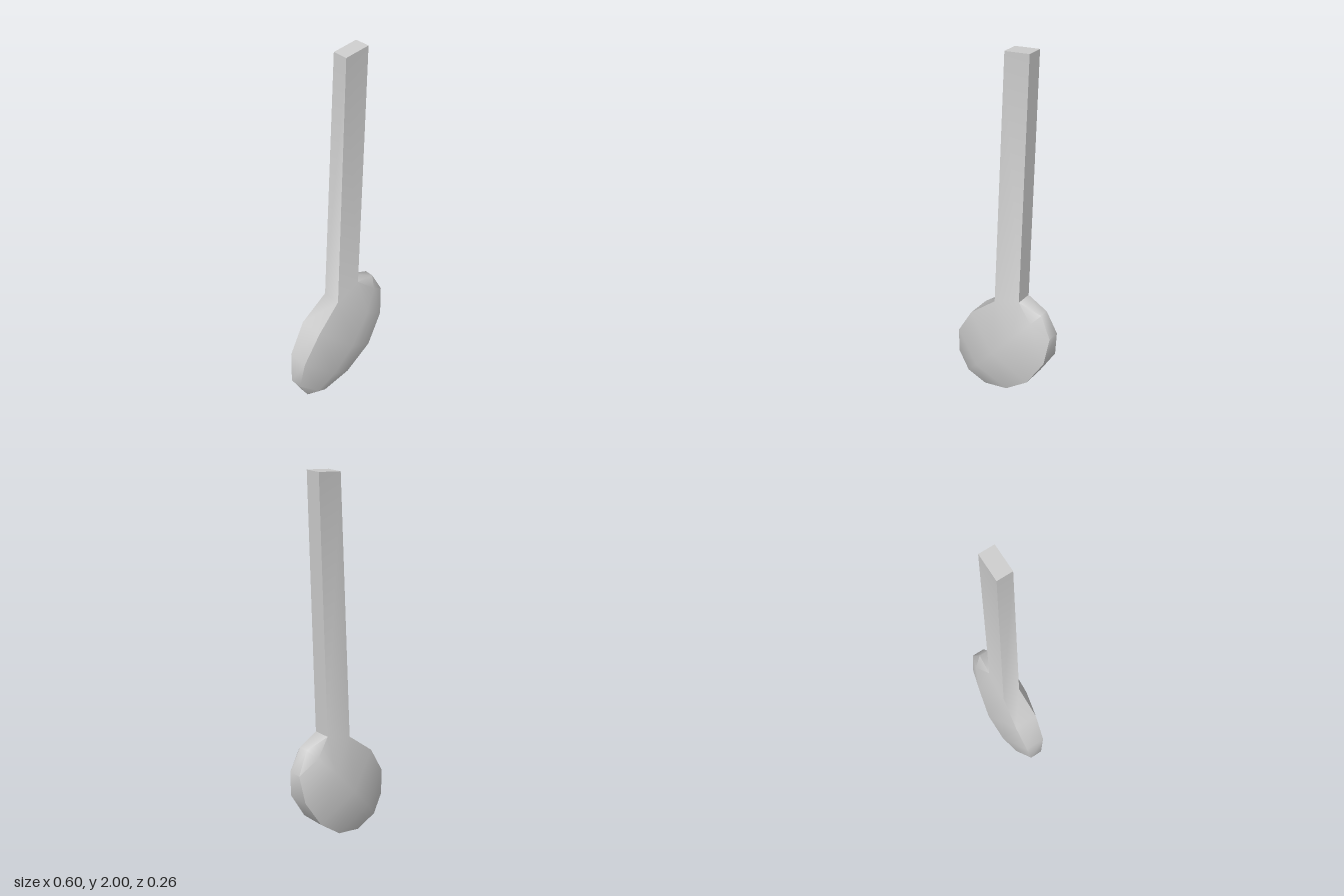
import * as THREE from 'three';
import { toCreasedNormals } from 'three/addons/utils/BufferGeometryUtils.js';

// Cross-sections of the head along its tilted long axis: each has an
// upper-left rim point, a ridge point and a lower-right rim point [x, y, half depth].
const TIP = [0.24, 0.62, 0.025], END = [-0.24, 0.045, 0.025];
const SECTIONS = [
  [TIP, TIP, TIP],
  [[0.113, 0.66, 0.044], [0.205, 0.58, 0.073], [0.3, 0.5, 0.034]],
  [[-0.037, 0.61, 0.05], [0.12, 0.48, 0.111], [0.28, 0.345, 0.055]],
  [[-0.183, 0.485, 0.065], [0, 0.33, 0.129], [0.183, 0.18, 0.065]],
  [[-0.28, 0.32, 0.055], [-0.12, 0.185, 0.111], [0.037, 0.055, 0.05]],
  [[-0.3, 0.155, 0.034], [-0.205, 0.085, 0.073], [-0.12, 0.005, 0.034]],
  [END, END, END],
];
const HANDLE_TOP = [[0.156, 2, 0.04], [0.02, 1.985, 0.04]]; // right, left

function buildGeometry() {
  const positions = [];
  const tri = (a, b, c) => positions.push(...a, ...b, ...c);
  const quad = (a, b, c, d) => { tri(a, b, c); tri(a, c, d); };
  const front = ([x, y, z]) => [x, y, z];
  const back = ([x, y, z]) => [x, y, -z];

  // the same counter-clockwise patch on the front and mirrored on the back
  const patch = (points) => {
    const p = points.filter((v, i) => v !== points[(i + 1) % points.length]);
    for (let i = 1; i < p.length - 1; i++) {
      tri(front(p[0]), front(p[i]), front(p[i + 1]));
      tri(back(p[0]), back(p[i + 1]), back(p[i]));
    }
  };

  // domed faces of the head
  for (let i = 0; i < SECTIONS.length - 1; i++) {
    const [l0, m0, r0] = SECTIONS[i], [l1, m1, r1] = SECTIONS[i + 1];
    patch([l0, l1, m1, m0]);
    patch([m0, m1, r1, r0]);
  }

  // broad faces of the handle
  const [topRight, topLeft] = HANDLE_TOP;
  patch([SECTIONS[1][0], topRight, topLeft, SECTIONS[2][0]]);

  // edge wall around the head and handle
  const left = SECTIONS.map((s) => s[0]);
  const right = SECTIONS.slice(1, -1).map((s) => s[2]).reverse();
  left.splice(2, 0, topRight, topLeft);
  const outline = [...left, ...right];
  outline.forEach((p, i) => {
    const q = outline[(i + 1) % outline.length];
    quad(front(p), back(p), back(q), front(q));
  });

  const geometry = new THREE.BufferGeometry();
  geometry.setAttribute('position', new THREE.Float32BufferAttribute(positions, 3));
  return toCreasedNormals(geometry, THREE.MathUtils.degToRad(55));
}

export function createModel() {
  const group = new THREE.Group();
  group.name = 'paddle';
  const material = new THREE.MeshStandardMaterial({ color: 0xcccccc });
  const mesh = new THREE.Mesh(buildGeometry(), material);
  mesh.name = 'headAndHandle';
  group.add(mesh);
  return group;
}
